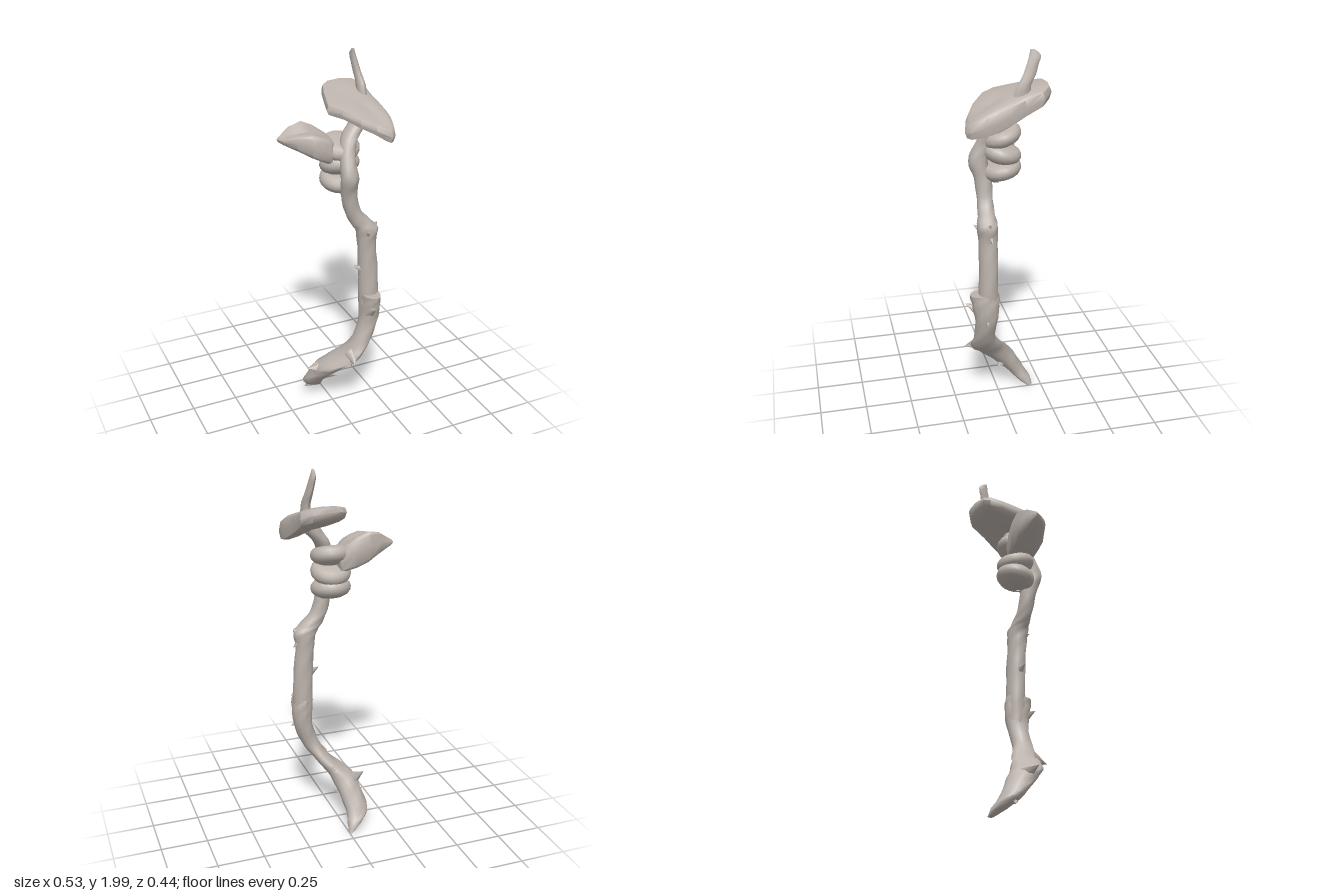
import * as THREE from 'three';
import { toCreasedNormals } from 'three/addons/utils/BufferGeometryUtils.js';

const wood = new THREE.MeshStandardMaterial({ color: 0xbcb3ac });
wood.name = 'weathered bone grey';

// Skin closed rings of points, ordered bottom to top, with capped ends
function loft(rings, crease) {
  const n = rings[0].length, pos = [], idx = [];
  rings.forEach(r => r.forEach(p => pos.push(p.x, p.y, p.z)));
  for (let i = 0; i < rings.length - 1; i++) {
    for (let j = 0; j < n; j++) {
      const a = i * n + j, b = i * n + (j + 1) % n;
      idx.push(a, a + n, b, b, a + n, b + n);
    }
  }
  [0, rings.length - 1].forEach((k, top) => {
    const c = new THREE.Vector3();
    rings[k].forEach(p => c.addScaledVector(p, 1 / n));
    const m = pos.length / 3;
    pos.push(c.x, c.y, c.z);
    for (let j = 0; j < n; j++) {
      const a = k * n + j, b = k * n + (j + 1) % n;
      if (top) idx.push(a, m, b); else idx.push(a, b, m);
    }
  });
  const g = new THREE.BufferGeometry();
  g.setAttribute('position', new THREE.Float32BufferAttribute(pos, 3));
  g.setIndex(idx);
  g.computeVertexNormals();
  return crease ? toCreasedNormals(g, crease) : g;
}

// Gnarled limb from sections [y, xMin, xMax, zMin, zMax]
function limb(sections, wobble = 0.06, sides = 12, steps = 4) {
  const lo = new THREE.CatmullRomCurve3(sections.map(s => new THREE.Vector3(s[1], s[0], s[3])), false, 'centripetal');
  const hi = new THREE.CatmullRomCurve3(sections.map(s => new THREE.Vector3(s[2], s[0], s[4])), false, 'centripetal');
  const count = (sections.length - 1) * steps, rings = [];
  for (let i = 0; i <= count; i++) {
    const a = lo.getPoint(i / count), b = hi.getPoint(i / count), ring = [];
    for (let j = 0; j < sides; j++) {
      const t = j / sides * Math.PI * 2;
      const k = 1 + wobble * Math.sin(3 * t + i * 0.9) * Math.cos(i * 0.6 + t);
      ring.push(new THREE.Vector3(
        (a.x + b.x) / 2 + Math.cos(t) * k * (b.x - a.x) / 2,
        (a.y + b.y) / 2,
        (a.z + b.z) / 2 + Math.sin(t) * k * (b.z - a.z) / 2));
    }
    rings.push(ring);
  }
  return loft(rings, 1.0);
}

// Rounded slab from an outline of [x, z, yBottom, yTop]
function slab(outline, bulge) {
  const n = outline.length, c = [0, 1, 2, 3].map(k => outline.reduce((s, p) => s + p[k], 0) / n);
  const levels = [[0.45, 0], [0.8, 0.03], [0.95, 0.14], [1, 0.5], [0.95, 0.86], [0.8, 0.97], [0.45, 1]];
  return loft(levels.map(([s, h]) => outline.map(p => {
    const yb = c[2] + (p[2] - c[2]) * s, yt = c[3] + (p[3] - c[3]) * s;
    const y = yb + (yt - yb) * h + bulge * (1 - s) * (h > 0.5 ? 1 : -1);
    return new THREE.Vector3(c[0] + (p[0] - c[0]) * s, y, c[1] + (p[1] - c[1]) * s);
  })), 0.75);
}

export function createModel() {
  const group = new THREE.Group();
  const add = (name, geo) => {
    const m = new THREE.Mesh(geo, wood);
    m.name = name;
    group.add(m);
    return m;
  };

  // Shaft: curved root end, then the straighter upper length
  add('lowerShaft', limb([
    [0.01, -0.02, 0.0, -0.2, -0.17], [0.05, -0.075, -0.005, -0.195, -0.115],
    [0.1, -0.13, -0.01, -0.165, -0.065], [0.2, -0.12, 0.015, -0.11, 0.03],
    [0.28, -0.09, 0.05, -0.06, 0.11], [0.36, 0.015, 0.11, -0.005, 0.17],
    [0.45, 0.075, 0.17, 0.045, 0.165], [0.57, 0.115, 0.215, 0.04, 0.165],
    [0.67, 0.12, 0.225, 0.035, 0.18], [0.73, 0.12, 0.22, 0.04, 0.19]]));
  add('upperShaft', limb([
    [0.56, 0.12, 0.21, 0.045, 0.14], [0.72, 0.115, 0.22, 0.04, 0.145],
    [0.9, 0.11, 0.215, 0.04, 0.14], [1.04, 0.1, 0.205, 0.04, 0.14],
    [1.11, 0.085, 0.215, 0.04, 0.145], [1.15, 0.06, 0.18, 0.045, 0.135],
    [1.22, 0.03, 0.115, 0.045, 0.13], [1.33, 0.005, 0.09, 0.045, 0.14],
    [1.42, -0.005, 0.085, 0.065, 0.165], [1.52, 0.005, 0.085, 0.03, 0.125],
    [1.6, 0.03, 0.115, -0.01, 0.09], [1.67, 0.08, 0.17, -0.02, 0.07],
    [1.74, 0.11, 0.19, -0.02, 0.06]]));

  // Broken twigs and splinters: [base, tip, radius]
  const twigs = [
    [[-0.06, 0.24, -0.02], [-0.155, 0.265, 0.0], 0.05],
    [[-0.05, 0.18, -0.04], [0.025, 0.175, 0.01], 0.04],
    [[-0.05, 0.26, 0.02], [-0.05, 0.29, 0.1], 0.045],
    [[0.06, 0.37, 0.12], [0.04, 0.35, 0.2], 0.04],
    [[0.18, 0.59, 0.1], [0.23, 0.565, 0.11], 0.03],
    [[0.16, 0.63, 0.14], [0.15, 0.675, 0.212], 0.035],
    [[0.14, 0.87, 0.09], [0.075, 0.9, 0.09], 0.03],
    [[0.17, 1.07, 0.09], [0.22, 1.03, 0.08], 0.03],
    [[0.15, 1.08, 0.11], [0.13, 1.11, 0.16], 0.03],
    [[0.16, 1.08, 0.09], [0.215, 1.135, 0.09], 0.045],
    [[0.06, 1.33, 0.07], [0.06, 1.3, 0.01], 0.025],
    [[-0.08, 0.1, -0.1], [-0.125, 0.06, -0.12], 0.03]];
  twigs.forEach(([base, tip, r], i) => {
    const a = new THREE.Vector3(...base), d = new THREE.Vector3(...tip).sub(a), len = d.length();
    const cone = add('twig' + (i + 1), new THREE.ConeGeometry(r, len, 6).translate(0, len / 2, 0));
    cone.position.copy(a);
    cone.quaternion.setFromUnitVectors(new THREE.Vector3(0, 1, 0), d.normalize());
  });

  // Rounded binding discs, tilted alternately: [y, tilt]
  const profile = [[0, -0.06], [0.05, -0.052], [0.085, -0.036], [0.1, -0.018], [0.104, 0],
    [0.1, 0.02], [0.085, 0.036], [0.05, 0.042], [0, 0.044]].map(p => new THREE.Vector2(...p));
  [[1.545, 0.3], [1.455, -0.28], [1.37, 0.2]].forEach(([y, tilt], i) => {
    const disc = add('binding' + (i + 1), new THREE.LatheGeometry(profile, 20));
    disc.position.set(0.04, y, -0.005);
    disc.rotation.x = tilt;
  });

  // Large slab on top
  add('topSlab', slab([
    [-0.04, 0.02, 1.72, 1.78], [-0.02, -0.06, 1.73, 1.80], [0.0, -0.13, 1.75, 1.815],
    [0.025, -0.19, 1.76, 1.83], [0.06, -0.212, 1.77, 1.84], [0.14, -0.22, 1.765, 1.845],
    [0.2, -0.215, 1.755, 1.84], [0.25, -0.17, 1.73, 1.82], [0.25, -0.08, 1.68, 1.79],
    [0.26, 0.0, 1.635, 1.765], [0.267, 0.07, 1.605, 1.74], [0.267, 0.13, 1.59, 1.715],
    [0.25, 0.195, 1.58, 1.69], [0.225, 0.215, 1.585, 1.675], [0.15, 0.195, 1.635, 1.70],
    [0.08, 0.155, 1.67, 1.735], [0.01, 0.09, 1.71, 1.77]], 0.012));

  // Wedge-shaped slab on the right
  add('sideWedge', slab([
    [-0.268, -0.085, 1.585, 1.615], [-0.2, -0.107, 1.55, 1.67], [-0.13, -0.125, 1.51, 1.685],
    [-0.06, -0.11, 1.475, 1.655], [0.015, -0.085, 1.45, 1.6], [0.025, 0.0, 1.45, 1.585],
    [-0.03, 0.07, 1.47, 1.605], [-0.08, 0.068, 1.495, 1.63], [-0.13, 0.06, 1.52, 1.645],
    [-0.2, 0.02, 1.56, 1.64], [-0.245, -0.035, 1.58, 1.615]], 0.005));

  // Thin horn rising from the slab
  add('horn', limb([
    [1.77, 0.17, 0.215, -0.115, -0.025], [1.83, 0.17, 0.215, -0.115, -0.045],
    [1.88, 0.168, 0.205, -0.14, -0.075], [1.93, 0.163, 0.195, -0.155, -0.095],
    [1.97, 0.162, 0.185, -0.168, -0.108], [2.0, 0.165, 0.175, -0.135, -0.115]], 0.02, 8, 2));

  return group;
}
